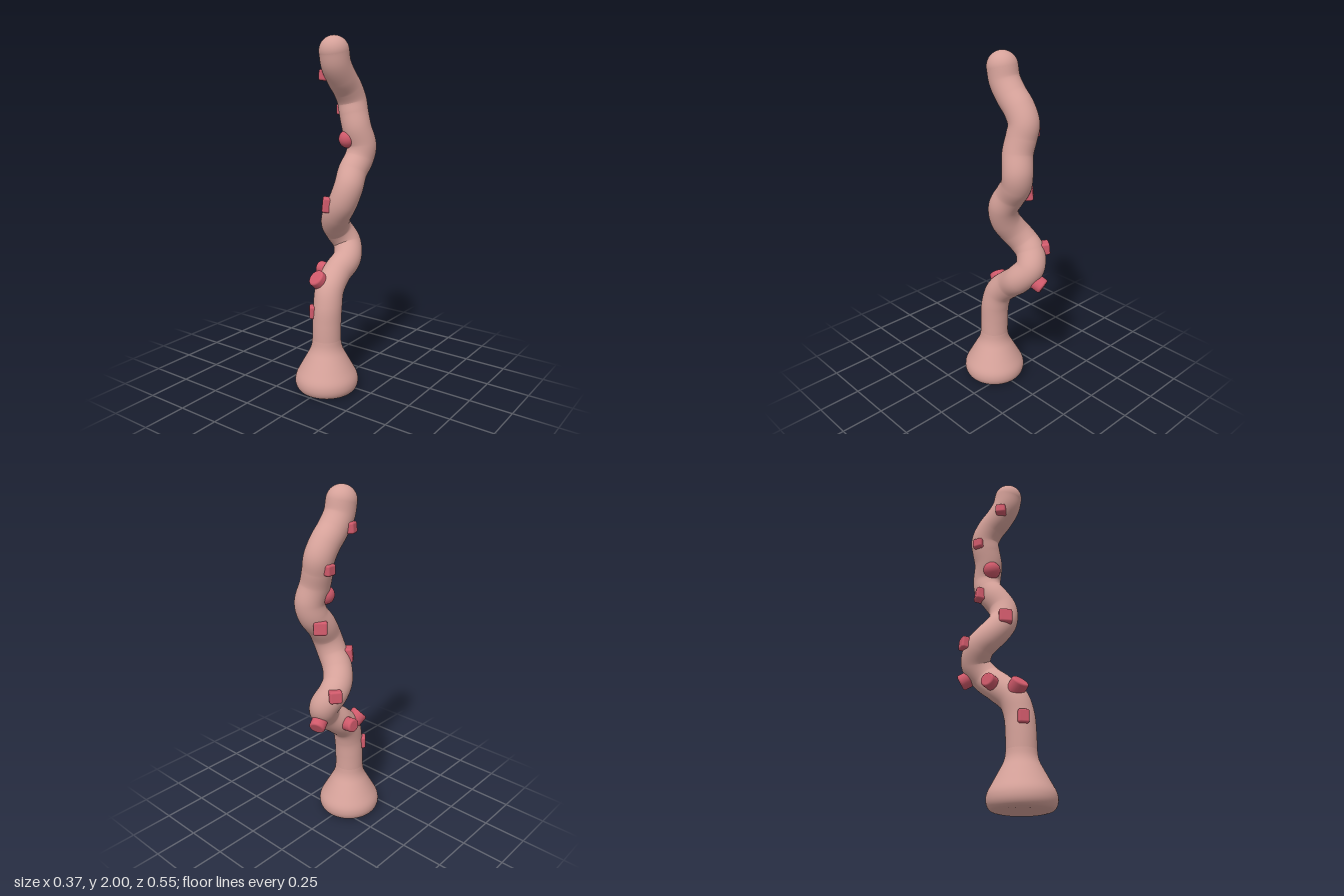
import * as THREE from 'three';
import { RoundedBoxGeometry } from 'three/addons/geometries/RoundedBoxGeometry.js';

const RADIUS = 0.083;
const v = (a) => new THREE.Vector3(...a);

// Centre line of the winding stalk, bottom to top
const PATH = [
  [0, 0.2, 0.088], [0, 0.3, 0.088], [0, 0.4, 0.086], [0, 0.5, 0.077], [-0.008, 0.59, 0.048],
  [-0.015, 0.67, -0.035], [-0.003, 0.74, -0.12], [-0.04, 0.82, -0.172], [-0.073, 0.9, -0.135],
  [-0.065, 0.95, -0.09], [-0.025, 1.015, -0.05], [0.025, 1.09, -0.036], [0.053, 1.18, -0.052],
  [0.047, 1.26, -0.1], [0.056, 1.33, -0.152], [0.063, 1.4, -0.168], [0.042, 1.5, -0.147],
  [0.02, 1.58, -0.15], [0.005, 1.65, -0.152], [0, 1.72, -0.113], [0, 1.78, -0.055],
  [0, 1.85, -0.004], [0, 1.917, 0.013],
];

// Short peg along z with rounded rims
function pegGeometry(r, length) {
  const h = length / 2, b = 0.012;
  const pts = [[0, -h], [r - b, -h]];
  for (let i = 0; i <= 6; i++) {
    const a = (i / 6) * Math.PI / 2;
    pts.push([r - b + b * Math.sin(a), h - b + b * Math.cos(a)]);
  }
  const side = pts.slice(2).reverse();
  const profile = [...pts.slice(0, 2), [r, -h + b], ...side, [0, h]];
  return new THREE.LatheGeometry(profile.map((p) => new THREE.Vector2(...p)), 28).rotateX(Math.PI / 2);
}

const box = (w, h, d) => new RoundedBoxGeometry(w, h, d, 3, 0.012);

export function createModel() {
  const model = new THREE.Group();
  const skin = new THREE.MeshStandardMaterial({ color: 0xd6a29a });
  skin.name = 'dusty pink';
  const red = new THREE.MeshStandardMaterial({ color: 0xd05a6b });
  red.name = 'rose red';

  const add = (geometry, material, name, position = [0, 0, 0]) => {
    const mesh = new THREE.Mesh(geometry, material);
    mesh.name = name;
    mesh.position.set(...position);
    model.add(mesh);
    return mesh;
  };

  // Stalk and rounded tip
  const curve = new THREE.CatmullRomCurve3(PATH.map(v));
  add(new THREE.TubeGeometry(curve, 260, RADIUS, 36), skin, 'stalk');
  add(new THREE.SphereGeometry(RADIUS, 36, 24), skin, 'tip', PATH[PATH.length - 1]);

  // Flared foot with a rounded rim
  const foot = new THREE.SplineCurve([
    [0.135, 0], [0.162, 0.008], [0.178, 0.03], [0.183, 0.06], [0.176, 0.095],
    [0.15, 0.145], [0.117, 0.205], [0.097, 0.243], [0.087, 0.275], [0.083, 0.31],
  ].map((p) => new THREE.Vector2(...p)));
  add(new THREE.LatheGeometry(foot.getPoints(40), 48), skin, 'foot', [0, 0, 0.088]);
  add(new THREE.CircleGeometry(0.135, 48).rotateX(Math.PI / 2), skin, 'footUnderside', [0, 0, 0.088]);

  // Nodules set into the stalk: geometry, position, outward direction
  const nodules = [
    ['lowBlock', box(0.06, 0.075, 0.06), [-0.056, 0.47, 0.128], [-0.75, 0, 0.6]],
    ['frontPeg', pegGeometry(0.05, 0.09), [-0.045, 0.642, 0.088], [-0.25, 0.68, 0.68]],
    ['sidePeg', pegGeometry(0.04, 0.08), [-0.108, 0.675, -0.04], [-1, 0.1, -0.05]],
    ['backPeg', pegGeometry(0.045, 0.1), [-0.045, 0.742, -0.218], [-0.3, -0.45, -0.8]],
    ['bendBlock', box(0.07, 0.07, 0.08), [-0.127, 0.915, -0.18], [-0.8, 0.1, -0.6]],
    ['middleBlock', box(0.075, 0.085, 0.075), [-0.038, 1.075, 0.012], [-0.8, 0.1, 0.6]],
    ['backBlock', box(0.075, 0.075, 0.07), [-0.01, 1.275, -0.165], [-0.65, 0.1, -0.7]],
    ['ball', new THREE.SphereGeometry(0.052, 28, 20), [0.01, 1.44, -0.105], [0, 0, 1]],
    ['upperBlock', box(0.06, 0.06, 0.06), [-0.06, 1.6, -0.155], [-1, 0, 0]],
    ['topBlock', box(0.06, 0.06, 0.065), [-0.068, 1.79, 0.0], [-0.95, 0.1, 0.3]],
  ];
  for (const [name, geometry, position, direction] of nodules) {
    const mesh = add(geometry, red, name, position);
    mesh.lookAt(v(position).add(v(direction)));
  }

  return model;
}
